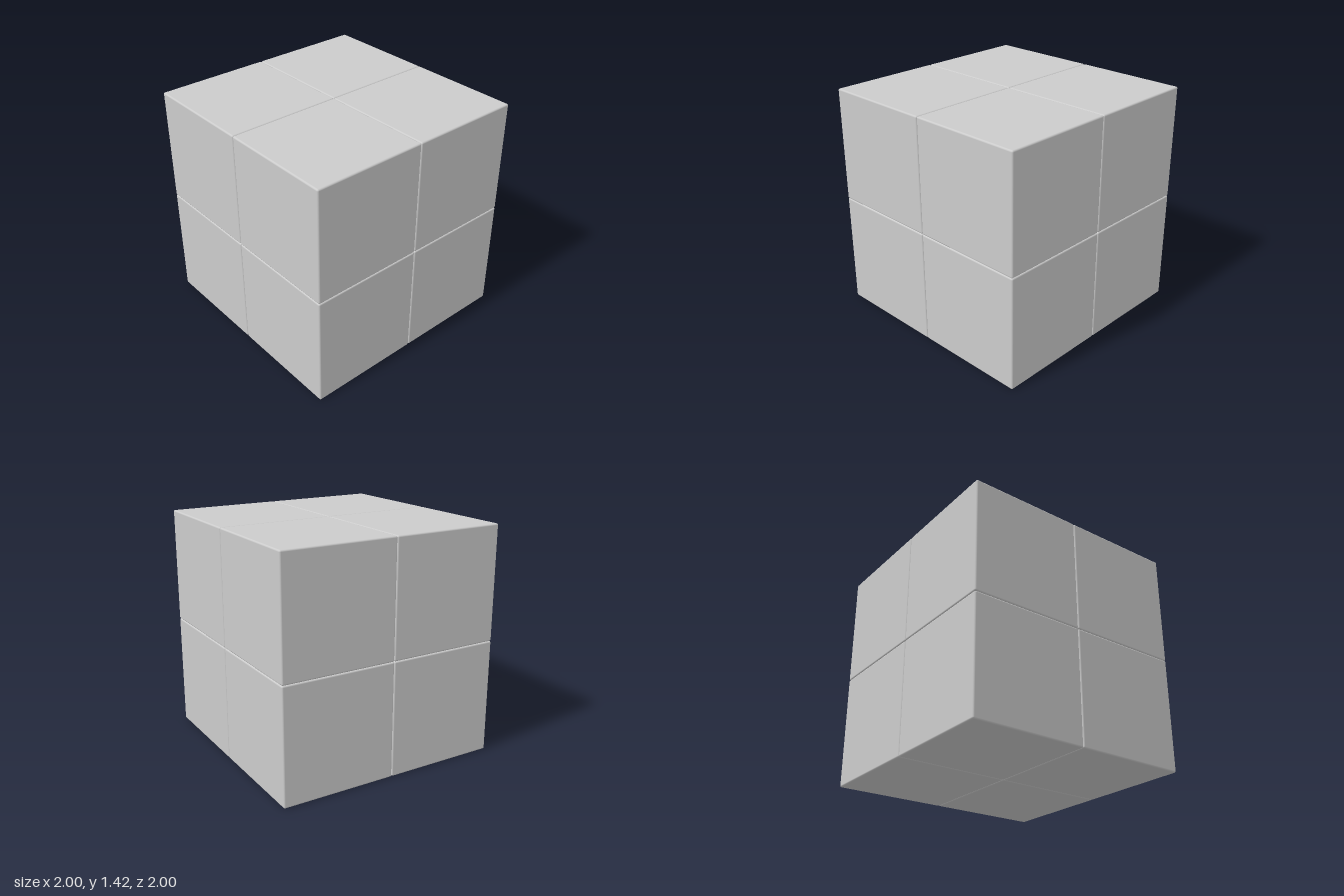
import * as THREE from 'three';
import { RoundedBoxGeometry } from 'three/addons/geometries/RoundedBoxGeometry.js';

const SIZE = 0.71; // edge of one small cube
const BEVEL = 0.01;

export function createModel() {
  const model = new THREE.Group();
  model.name = 'twoByTwoPuzzleCube';
  const material = new THREE.MeshStandardMaterial({ color: 0xcccccc });
  const geometry = new RoundedBoxGeometry(SIZE, SIZE, SIZE, 3, BEVEL);

  // Eight small cubes in two layers, turned so that one edge faces the front
  const cubes = new THREE.Group();
  cubes.name = 'cubes';
  cubes.rotation.y = Math.PI / 4;
  for (const layer of ['lower', 'upper']) {
    for (const sx of [-1, 1]) {
      for (const sz of [-1, 1]) {
        const cube = new THREE.Mesh(geometry, material);
        cube.name = `${layer}Cube`;
        cube.position.set(sx * SIZE / 2, SIZE * (layer === 'lower' ? 0.5 : 1.5), sz * SIZE / 2);
        cubes.add(cube);
      }
    }
  }
  model.add(cubes);
  return model;
}
